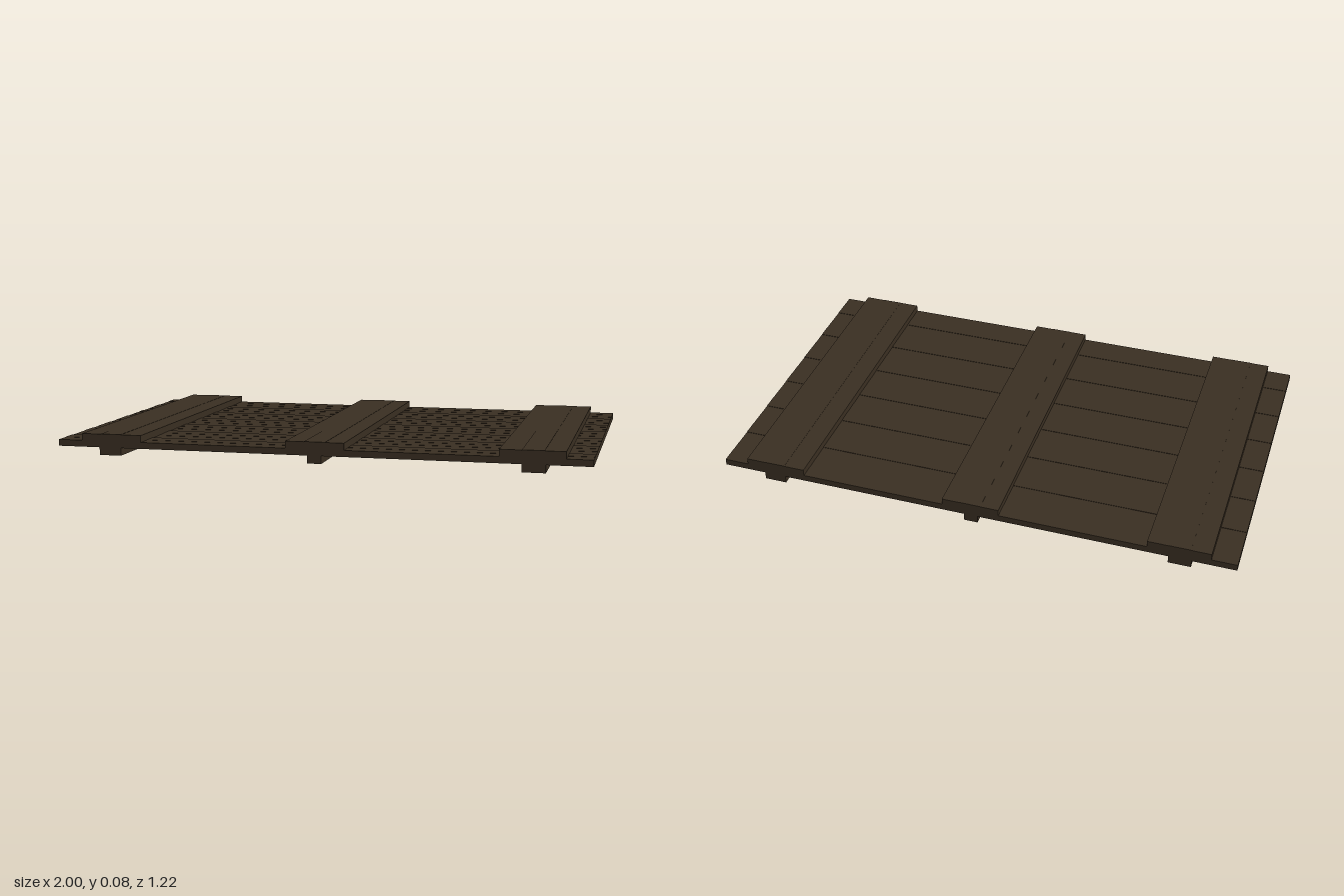
import * as THREE from 'three';

const DEPTH = 1.22;

export function createModel() {
  const group = new THREE.Group();
  const wood = new THREE.MeshStandardMaterial({ color: 0x3a2f22 });

  // box given by its limits on x, y and z
  function board(name, x0, x1, y0, y1, z0, z1, parent) {
    const mesh = new THREE.Mesh(new THREE.BoxGeometry(x1 - x0, y1 - y0, z1 - z0), wood);
    mesh.position.set((x0 + x1) / 2, (y0 + y1) / 2, (z0 + z1) / 2);
    mesh.name = name;
    parent.add(mesh);
  }

  // deck: twenty crosswise planks laid edge to edge, tops slightly uneven
  const deck = new THREE.Group();
  deck.name = 'deck';
  const count = 20, w = DEPTH / count;
  for (let i = 0; i < count; i++) {
    const z = -DEPTH / 2 + i * w;
    const top = 0.054 - 0.0008 * ((i * 7) % 3);
    board('deckPlank', -1, 1, 0.029, top, z, z + w, deck);
  }
  group.add(deck);

  // three bands of three lengthwise boards on top
  const bands = [
    ['rightBand', [-0.905, -0.83, -0.75, -0.67]],
    ['centreBand', [-0.11, -0.04, 0.04, 0.11]],
    ['leftBand', [0.67, 0.75, 0.83, 0.905]],
  ];
  for (const [name, edges] of bands) {
    const band = new THREE.Group();
    band.name = name;
    for (let i = 0; i < 3; i++) {
      board('bandBoard', edges[i], edges[i + 1], 0.05, i === 1 ? 0.08 : 0.0792,
        -DEPTH / 2, DEPTH / 2, band);
    }
    group.add(band);
  }

  // runners underneath
  const runners = [
    ['rightRunner', -0.835, -0.75],
    ['centreRunner', -0.028, 0.025],
    ['leftRunner', 0.75, 0.835],
  ];
  for (const [name, x0, x1] of runners) {
    board(name, x0, x1, 0, 0.031, -DEPTH / 2, DEPTH / 2, group);
  }
  return group;
}
